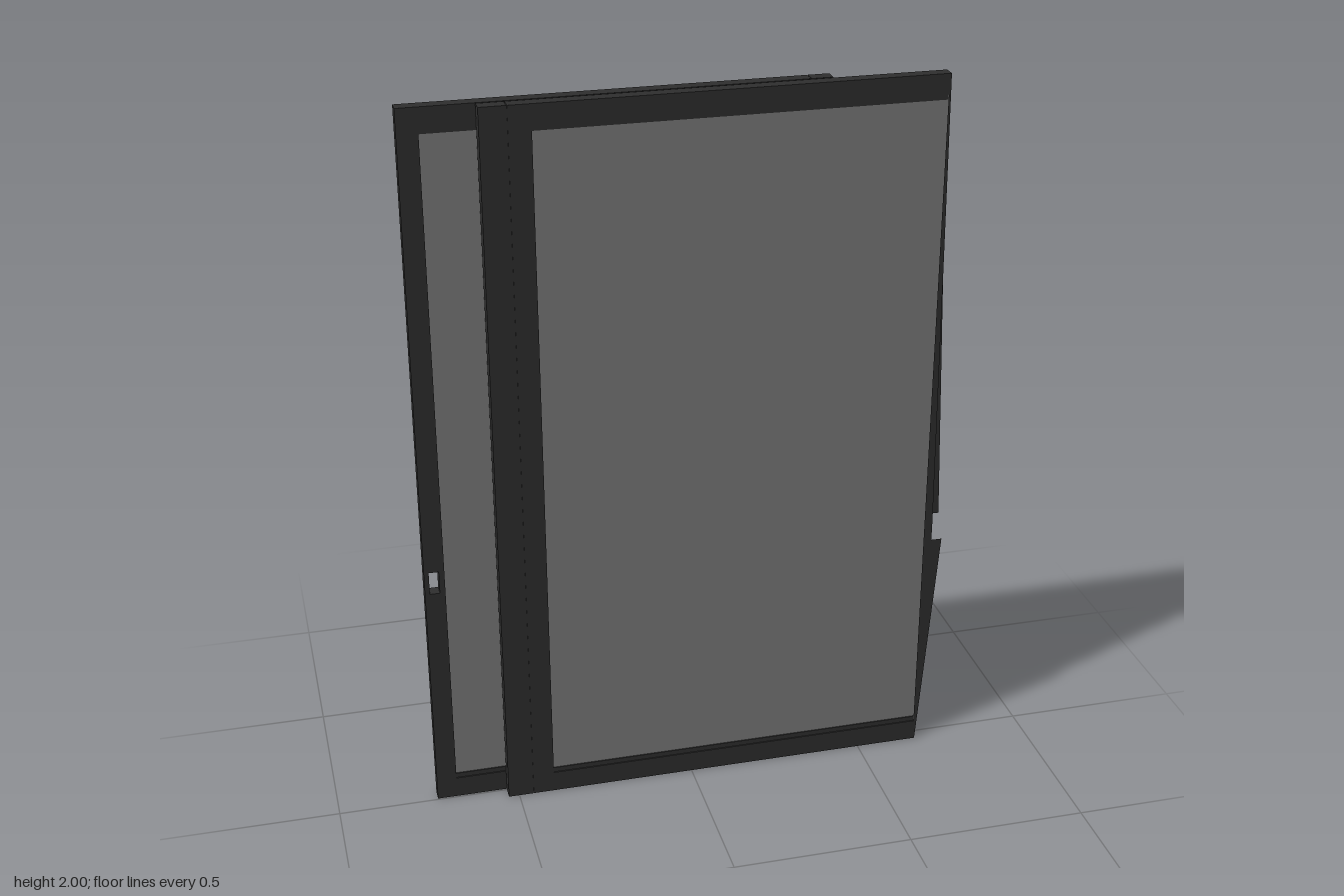
import * as THREE from 'three';

const frameMat = new THREE.MeshStandardMaterial({ color: 0x2e2e2e });
frameMat.name = 'dark frame';
const sheetMat = new THREE.MeshStandardMaterial({ color: 0x2e2e2e, side: THREE.DoubleSide });
sheetMat.name = 'dark frame sheet';
const glassMat = new THREE.MeshStandardMaterial({ color: 0x7b7b7b });
glassMat.name = 'grey glass';

const DEPTH = 0.035, HEIGHT = 2, RAIL = 0.06;

// Box given by its limits
function box(name, mat, x0, x1, y0, y1, z0, z1) {
  const mesh = new THREE.Mesh(new THREE.BoxGeometry(x1 - x0, y1 - y0, z1 - z0), mat);
  mesh.position.set((x0 + x1) / 2, (y0 + y1) / 2, (z0 + z1) / 2);
  mesh.name = name;
  return mesh;
}

function polygon(points) {
  return new THREE.Shape(points.map(([x, y]) => new THREE.Vector2(x, y)));
}

// Rails, glass and recessed glazing beads between x0 and x1; the glass opening is g0..g1
function addPanel(group, x0, x1, g0, g1) {
  const top = HEIGHT - 0.055, bead = 0.014;
  group.add(
    box('bottomRail', frameMat, x0, x1, 0, RAIL, 0, DEPTH),
    box('topRail', frameMat, x0, x1, top, HEIGHT, 0, DEPTH),
    box('glass', glassMat, g0, g1, RAIL, top, 0.006, DEPTH - 0.006),
    box('bottomBead', frameMat, g0, g1 - 0.004, RAIL, RAIL + bead, 0.003, DEPTH - 0.003),
    box('topBead', frameMat, g0, g1 - 0.004, top - bead, top, 0.003, DEPTH - 0.003),
  );
}

// Meeting stile made of two upright profiles with a fine joint between them
function addMeetingStile(group, x0, xMid, x1) {
  group.add(
    box('meetingStileOuter', frameMat, x0, xMid - 0.001, 0, HEIGHT, 0, DEPTH),
    box('meetingStileInner', frameMat, xMid + 0.001, x1, 0, HEIGHT, 0, DEPTH),
    box('meetingStileJoint', frameMat, xMid - 0.002, xMid + 0.002, 0.001, HEIGHT - 0.001, 0.002, DEPTH - 0.002),
  );
}

export function createModel() {
  const model = new THREE.Group();
  model.name = 'slidingDoor';

  // Rear panel with a pull slot cut through its outer stile
  const rear = new THREE.Group();
  rear.name = 'rearPanel';
  rear.position.z = -0.039;
  addPanel(rear, -0.67, 0.25, -0.67, 0.25);
  addMeetingStile(rear, 0.25, 0.318, 0.375);
  const stile = polygon([[-0.725, 0], [-0.67, 0], [-0.67, HEIGHT], [-0.725, HEIGHT]]);
  stile.holes.push(polygon([[-0.712, 0.66], [-0.712, 0.725], [-0.685, 0.725], [-0.685, 0.66]]));
  const outer = new THREE.Mesh(
    new THREE.ExtrudeGeometry(stile, { depth: DEPTH, bevelEnabled: false }), frameMat);
  outer.name = 'slottedStile';
  rear.add(outer);
  model.add(rear);

  // Front panel
  const front = new THREE.Group();
  front.name = 'frontPanel';
  front.position.z = 0.001;
  addPanel(front, -0.4, 0.675, -0.4, 0.674);
  addMeetingStile(front, -0.53, -0.46, -0.4);

  // Thin tapering sheets on the open edge: upper one at the back, lower one at the front
  const sheets = [
    ['upperEdgeSheet', 0.001, [[0.67, 0], [0.675, 0], [0.693, 0.66], [0.693, 0.725], [0.723, 0.725], [0.675, 2], [0.67, 2]]],
    ['lowerEdgeSheet', DEPTH, [[0.67, 0], [0.675, 0], [0.723, 0.66], [0.693, 0.66], [0.693, 0.725], [0.675, 2], [0.67, 2]]],
  ];
  for (const [name, z, points] of sheets) {
    const sheet = new THREE.Mesh(new THREE.ShapeGeometry(polygon(points)), sheetMat);
    sheet.name = name;
    sheet.position.z = z;
    front.add(sheet);
  }
  model.add(front);
  return model;
}
